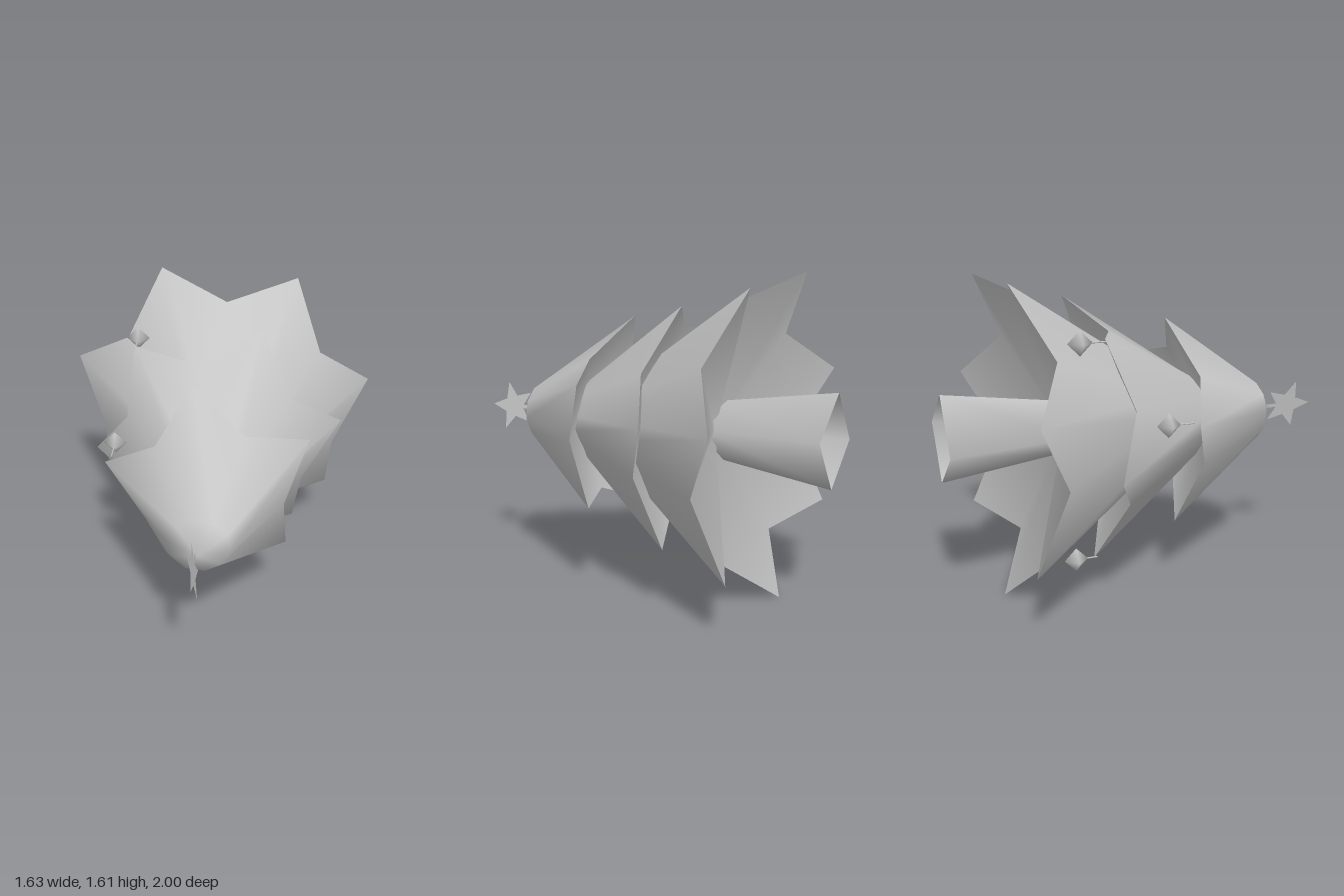
import * as THREE from 'three';

const CX = -0.01, CY = 0.838; // tree axis, running along z

// Stack of closed rings (a ring of one point is a tip), listed from front (+z) to back
function loft(rings) {
  const pos = [], idx = [], start = [];
  const n = Math.max(...rings.map(r => r.length));
  for (const ring of rings) {
    start.push(pos.length / 3);
    for (const p of ring) pos.push(...p);
  }
  const at = (k, i) => start[k] + (i % rings[k].length);
  for (let k = 0; k + 1 < rings.length; k++) {
    for (let i = 0; i < n; i++) {
      if (rings[k + 1].length > 1) idx.push(at(k, i), at(k + 1, i), at(k + 1, i + 1));
      if (rings[k].length > 1) idx.push(at(k, i), at(k + 1, i + 1), at(k, i + 1));
    }
  }
  const g = new THREE.BufferGeometry();
  g.setAttribute('position', new THREE.Float32BufferAttribute(pos, 3));
  g.setIndex(idx);
  g.computeVertexNormals();
  return g;
}

// Star-shaped ring: even points are tips, odd points are notches
function starRing(points, phase, rTip, rNotch, zTip, zNotch, cx, cy) {
  return Array.from({ length: points * 2 }, (_, i) => {
    const a = phase + i * Math.PI / points;
    const r = i % 2 ? rNotch : rTip;
    return [cx + r * Math.cos(a), cy + r * Math.sin(a), i % 2 ? zNotch : zTip];
  });
}

export function createModel() {
  const group = new THREE.Group();
  const grey = new THREE.MeshStandardMaterial({ color: 0xc6c6c6, side: THREE.DoubleSide });
  grey.name = 'plain grey';
  const add = (name, geo, parent = group) => {
    const m = new THREE.Mesh(geo, grey);
    m.name = name;
    parent.add(m);
    return m;
  };

  // Three tiers of branches: pointed skirt outside, shallow hollow underneath
  const deg = Math.PI / 180;
  const tiers = [
    { name: 'topTier', n: 5, phase: 27.5, tip: [0.542, 0.12], notch: [0.37, 0.24], ring: [0.146, 0.67], apex: 0.75, hollow: 0.39, cx: -0.03 },
    { name: 'middleTier', n: 6, phase: 9.5, tip: [0.667, -0.312], notch: [0.49, -0.172], ring: [0.16, 0.38], apex: 0.43, hollow: 0.01, cx: CX },
    { name: 'bottomTier', n: 7, phase: 9.6, tip: [0.836, -0.728], notch: [0.66, -0.558], ring: [0.23, 0.1], apex: 0.15, hollow: -0.385, cx: CX },
  ];
  for (const t of tiers) {
    const [rr, rz] = t.ring;
    const edge = starRing(t.n, t.phase * deg, t.tip[0], t.notch[0], t.tip[1], t.notch[1], CX, CY);
    const shoulder = starRing(t.n, t.phase * deg, rr, rr, rz, rz, t.cx, CY);
    const tier = new THREE.Group();
    tier.name = t.name;
    group.add(tier);
    add('branches', loft([[[t.cx, CY + 0.005, t.apex]], shoulder, edge]), tier);
    add('underside', loft([edge, [[CX, CY, t.hollow]]]), tier);
  }

  // Four-sided open trunk widening to the back
  const trunk = new THREE.CylinderGeometry(0.14, 0.23, 0.62, 4, 1, true);
  trunk.rotateX(Math.PI / 2).rotateZ(8 * deg);
  add('trunk', trunk).position.set(-0.0165, CY, -0.69);

  // Flat star on the tip with a thin stem, leaning slightly from the y-z plane
  const topper = new THREE.Group();
  topper.name = 'topper';
  topper.position.set(-0.042, 0.845, 0.865);
  topper.rotation.z = 9.5 * deg;
  group.add(topper);
  const outline = starRing(5, 0, 0.135, 0.06, 0, 0, 0, 0).map(([x, y]) => new THREE.Vector2(x, y));
  add('star', new THREE.ShapeGeometry(new THREE.Shape(outline)).rotateY(-Math.PI / 2), topper);
  const stem = new THREE.PlaneGeometry(0.08, 0.02).rotateY(-Math.PI / 2);
  add('starStem', stem, topper).position.z = -0.098;

  // Baubles hanging behind three branch tips
  const baubles = [[-0.515, 0.94, 0.1, -0.03], [-0.43, 1.34, -0.3, -0.43], [-0.26, 0.225, -0.3, -0.41]];
  for (const [x, y, zTip, z] of baubles) {
    const bauble = new THREE.Group();
    bauble.name = 'bauble';
    bauble.position.set(x, y, z);
    group.add(bauble);
    add('ball', new THREE.SphereGeometry(0.06, 4, 2), bauble);
    const len = zTip - z;
    const hook = new THREE.CylinderGeometry(0.004, 0.004, len, 5).rotateX(Math.PI / 2);
    add('hook', hook, bauble).position.z = len / 2;
  }
  return group;
}
